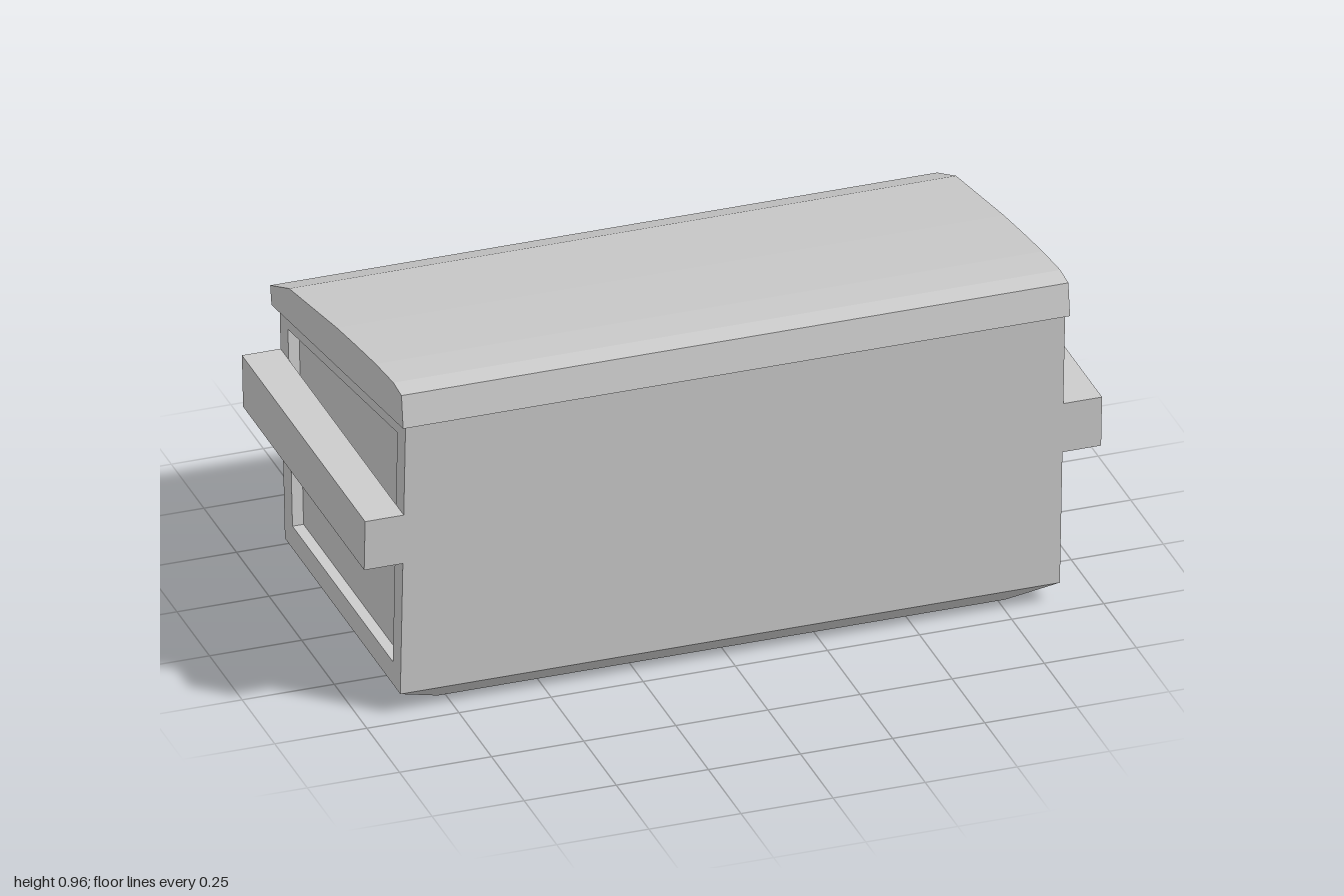
import * as THREE from 'three';

const material = new THREE.MeshStandardMaterial({ color: 0xcccccc, flatShading: true });
const W = 0.895; // half width of the body

// Sloping front and back faces of the body: z at height y
const zFront = (y) => 0.46 + (y - 0.06) * 0.05;
const zBack = (y) => -0.425 - (y - 0.06) * 0.062;

function add(group, name, geometry) {
  const mesh = new THREE.Mesh(geometry, material);
  mesh.name = name;
  group.add(mesh);
  return mesh;
}

// Flat faces from four corners each, counter-clockwise seen from outside
function quads(list) {
  const pos = [];
  for (const [a, b, c, d] of list) pos.push(...a, ...b, ...c, ...a, ...c, ...d);
  const g = new THREE.BufferGeometry();
  g.setAttribute('position', new THREE.Float32BufferAttribute(pos, 3));
  g.computeVertexNormals();
  return g;
}

// Wall with a border around a panel that is pushed inward
function recessedWall(outer, inner, push) {
  const deep = inner.map((p) => p.map((v, k) => v + push[k]));
  const faces = [deep];
  for (let i = 0; i < 4; i++) {
    const j = (i + 1) % 4;
    faces.push([outer[i], outer[j], inner[j], inner[i]]);
    faces.push([inner[i], inner[j], deep[j], deep[i]]);
  }
  return quads(faces);
}

// Side profile of [z, y] points, extruded along x from x0 to x1
function extrudeAcross(profile, x0, x1) {
  const shape = new THREE.Shape(profile.map(([z, y]) => new THREE.Vector2(z, y)));
  const g = new THREE.ExtrudeGeometry(shape, { depth: x1 - x0, bevelEnabled: false });
  return g.rotateY(-Math.PI / 2).translate(x1, 0, 0);
}

export function createModel() {
  const model = new THREE.Group();
  model.name = 'dumpster';
  const body = new THREE.Group();
  body.name = 'body';
  model.add(body);

  const yF = 0.86, yB = 0.705, yL = 0.06; // front top, back top, lower rim
  const rim = [[W, yL, zFront(yL)], [W, yL, zBack(yL)], [-W, yL, zBack(yL)], [-W, yL, zFront(yL)]];
  const base = [[0.77, 0, 0.395], [0.77, 0, -0.36], [-0.77, 0, -0.36], [-0.77, 0, 0.395]];
  const top = [[W, yF, zFront(yF)], [W, yB, zBack(yB)], [-W, yB, zBack(yB)], [-W, yF, zFront(yF)]];

  // Plain front
  add(body, 'frontWall', quads([[rim[3], rim[0], top[0], top[3]]]));

  // Sides with recessed panels
  const panel = [[0.403, 0.125], [-0.367, 0.125], [-0.402, 0.68], [0.437, 0.81]];
  const order = (pts, s) => (s > 0 ? pts : [...pts].reverse());
  for (const s of [1, -1]) {
    const outer = [rim[0], rim[1], top[1], top[0]].map(([x, y, z]) => [s * x, y, z]);
    const inner = panel.map(([z, y]) => [s * W, y, z]);
    add(body, s > 0 ? 'leftWall' : 'rightWall',
      recessedWall(order(outer, s), order(inner, s), [-0.03 * s, 0, 0]));
  }

  // Back with a recessed panel
  const px = 0.79, p0 = 0.13, p1 = 0.64;
  add(body, 'backWall', recessedWall(
    [rim[2], top[2], top[1], rim[1]],
    [[-px, p0, zBack(p0)], [-px, p1, zBack(p1)], [px, p1, zBack(p1)], [px, p0, zBack(p0)]],
    [0, 0, 0.03]));

  // Tapered underside
  const under = [[base[3], base[2], base[1], base[0]]];
  for (let i = 0; i < 4; i++) {
    const j = (i + 1) % 4;
    under.push([base[i], base[j], rim[j], rim[i]]);
  }
  add(body, 'underside', quads(under));

  // Lifting rails on both sides
  const r0 = 0.45, r1 = 0.595;
  const rail = [[zBack(r0), r0], [zFront(r0), r0], [zFront(r1), r1], [zBack(r1), r1]];
  add(model, 'leftRail', extrudeAcross(rail, W, 1));
  add(model, 'rightRail', extrudeAcross(rail, -1, -W));

  // Curved lid
  add(model, 'lid', extrudeAcross([
    [0.51, 0.86], [0.497, 0.95], [0.435, 0.956], [0.3, 0.941], [0.15, 0.918],
    [0, 0.893], [-0.18, 0.857], [-0.365, 0.82], [-0.51, 0.755], [-0.5, 0.703],
  ], -0.905, 0.905));

  return model;
}
